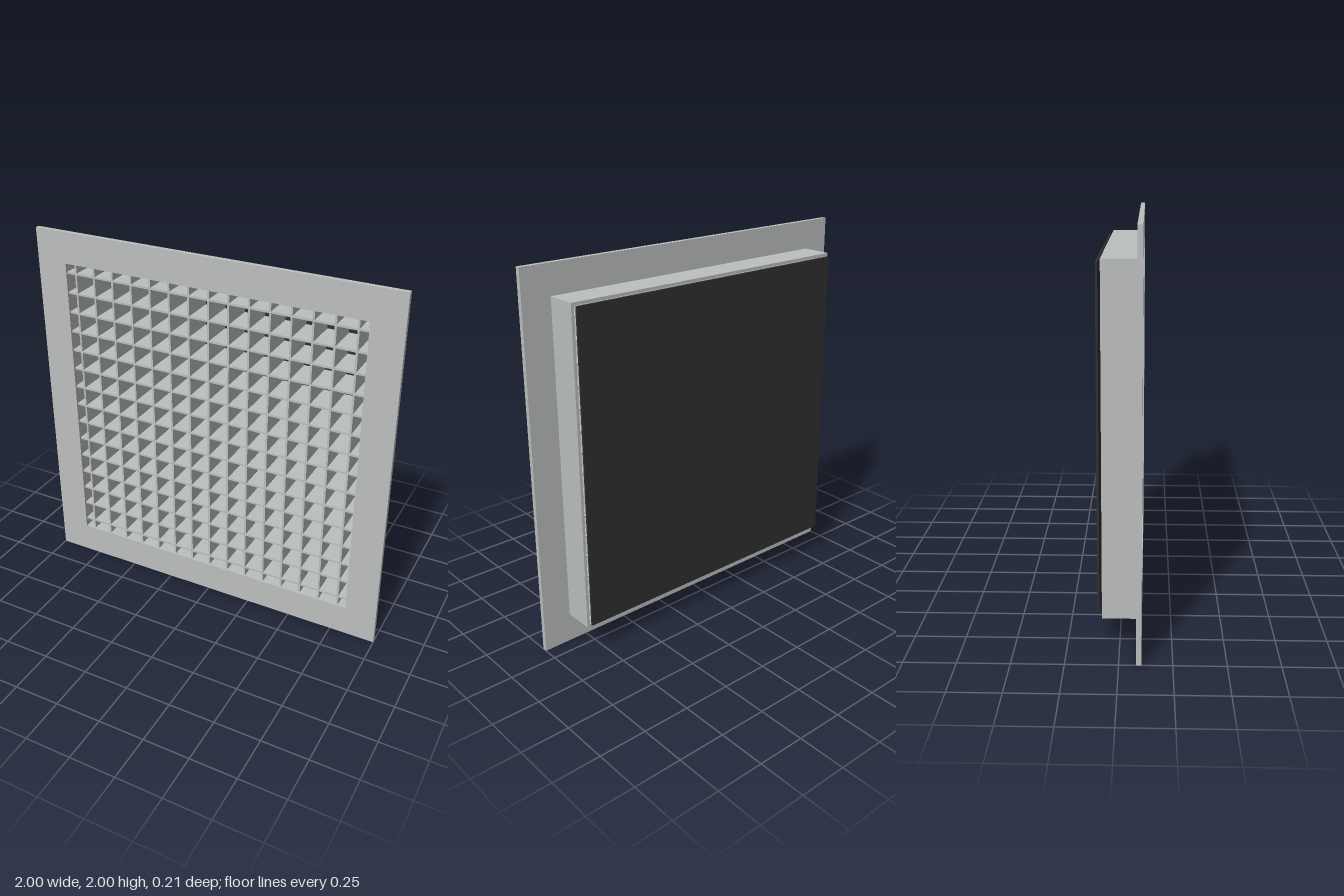
import * as THREE from 'three';

export function createModel() {
  const model = new THREE.Group();
  const greyMetal = new THREE.MeshStandardMaterial({ color: 0xbcc0bf });
  const blackPanel = new THREE.MeshStandardMaterial({ color: 0x303030 });
  const OPENING = 0.83; // half size of the square opening

  // Square ring running from z0 to z1
  function squareRing(name, half, z0, z1) {
    const square = (Type, h) => new Type([
      new THREE.Vector2(-h, -h), new THREE.Vector2(h, -h),
      new THREE.Vector2(h, h), new THREE.Vector2(-h, h),
    ]);
    const shape = square(THREE.Shape, half);
    shape.holes.push(square(THREE.Path, OPENING));
    const geometry = new THREE.ExtrudeGeometry(shape, { depth: z1 - z0, bevelEnabled: false });
    const mesh = new THREE.Mesh(geometry, greyMetal);
    mesh.name = name;
    mesh.position.set(0, 1, z0);
    model.add(mesh);
  }

  squareRing('faceFlange', 1, 0.08, 0.105);
  squareRing('ductCollar', 0.845, -0.083, 0.08);

  // Egg-crate grid: 15 upright and 15 level blades
  const grid = new THREE.Group();
  grid.name = 'eggCrateGrid';
  grid.position.y = 1;
  const blade = 0.011, front = 0.095, back = -0.083, pitch = 0.111;
  const upright = new THREE.BoxGeometry(blade, OPENING * 2, front - back);
  const level = new THREE.BoxGeometry(OPENING * 2, blade, front - back);
  for (let i = -7; i <= 7; i++) {
    const v = new THREE.Mesh(upright, greyMetal);
    v.name = 'uprightBlade';
    v.position.set(i * pitch, 0, (front + back) / 2);
    const h = new THREE.Mesh(level, greyMetal);
    h.name = 'levelBlade';
    h.position.set(0, i * pitch, (front + back) / 2);
    grid.add(v, h);
  }
  model.add(grid);

  // Dark panel set just behind the collar
  const panel = new THREE.Mesh(new THREE.BoxGeometry(OPENING * 2, OPENING * 2, 0.01), blackPanel);
  panel.name = 'backPanel';
  panel.position.set(0, 1, -0.1);
  model.add(panel);

  return model;
}
